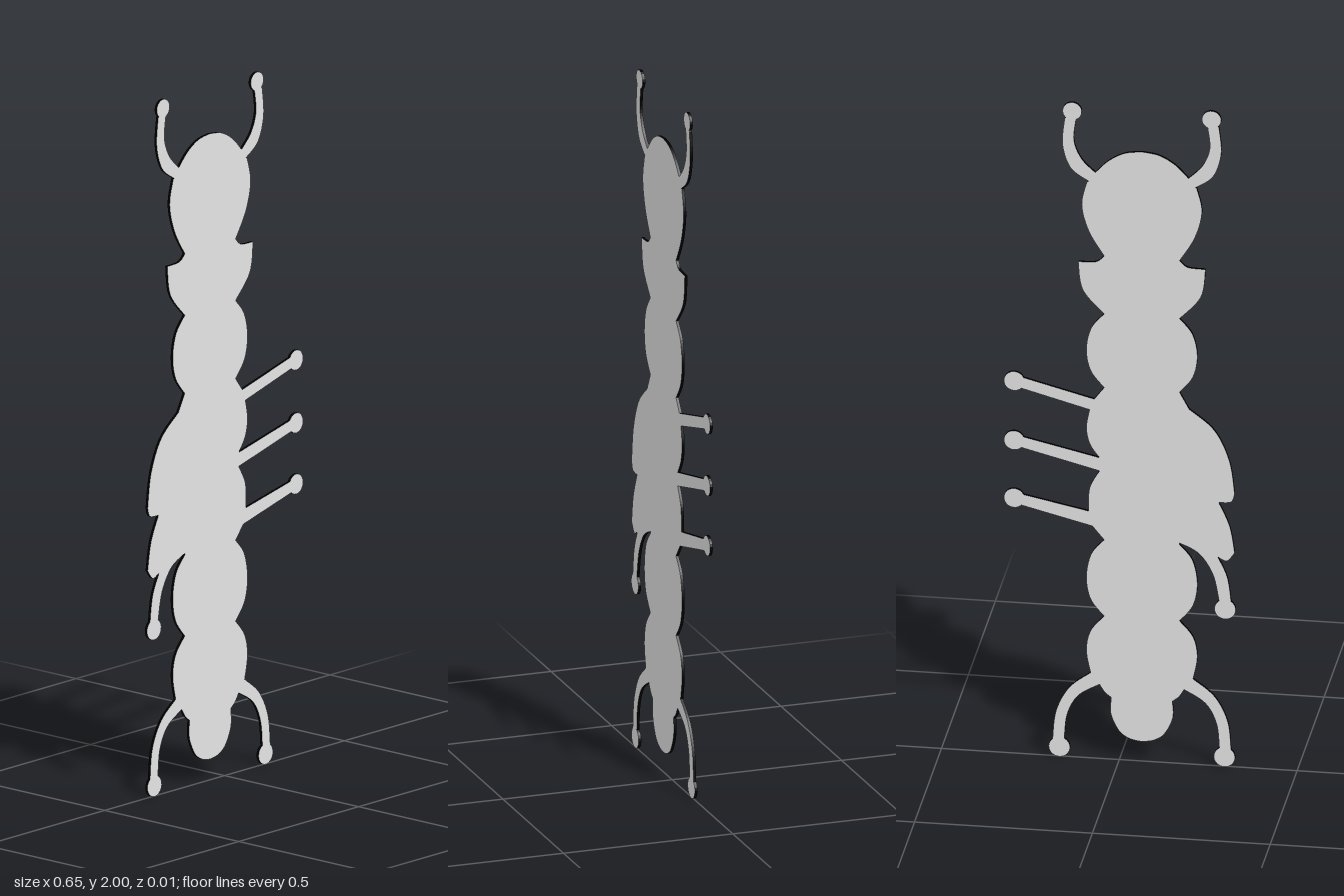
import * as THREE from 'three';

const AXIS = -0.064; // centre line of the body
const DEPTH = 0.008;

// Smooth run of outline through a few points
const smooth = (pts) =>
  new THREE.SplineCurve(pts.map(([x, y]) => new THREE.Vector2(x, y))).getPoints((pts.length - 1) * 7);

// Limb outline: out along one edge, clockwise round the knob, back along the other
function limb(out, [cx, cy, r], back) {
  const angle = ([x, y]) => Math.atan2(y - cy, x - cx);
  const a0 = angle(out[out.length - 1]);
  let a1 = angle(back[0]);
  if (a1 >= a0) a1 -= Math.PI * 2;
  const knob = [];
  for (let i = 0; i <= 18; i++) {
    const a = a0 + ((a1 - a0) * i) / 18;
    knob.push(new THREE.Vector2(cx + r * Math.cos(a), cy + r * Math.sin(a)));
  }
  return [...smooth(out), ...knob, ...smooth(back)];
}

const mirror = (pts) => pts.map((p) => new THREE.Vector2(2 * AXIS - p.x, p.y)).reverse();

export function createModel() {
  const lightGrey = new THREE.MeshStandardMaterial({ color: 0xe5e5e5 });
  lightGrey.name = 'lightGrey';
  const black = new THREE.MeshStandardMaterial({ color: 0x000000 });
  black.name = 'black';

  // Head, antenna, collar and first body segment (mirrored)
  const upper = [
    ...smooth([[AXIS, 1.862], [-0.015, 1.854], [0.03, 1.828], [0.067, 1.79]]),
    ...limb([[0.067, 1.79], [0.106, 1.83], [0.127, 1.885], [0.121, 1.95]], [0.132, 1.973, 0.027],
      [[0.153, 1.95], [0.159, 1.87], [0.136, 1.8], [0.085, 1.762]]),
    ...smooth([[0.09, 1.762], [0.105, 1.69], [0.085, 1.61], [0.042, 1.537]]),
    ...smooth([[0.042, 1.537], [0.065, 1.518], [0.115, 1.515]]),
    ...smooth([[0.115, 1.515], [0.102, 1.43], [0.042, 1.36]]),
    ...smooth([[0.042, 1.36], [0.078, 1.315], [0.092, 1.25], [0.08, 1.185], [0.042, 1.135]]),
  ];

  // Two lower segments, foot and tail (mirrored)
  const lower = [
    ...smooth([[0.042, 0.67], [0.078, 0.625], [0.092, 0.555], [0.08, 0.487], [0.042, 0.437]]),
    ...smooth([[0.042, 0.437], [0.08, 0.39], [0.092, 0.33], [0.08, 0.262]]),
    ...limb([[0.08, 0.262], [0.14, 0.213], [0.177, 0.14], [0.187, 0.053]], [0.168, 0.03, 0.03],
      [[0.154, 0.056], [0.146, 0.13], [0.115, 0.19], [0.055, 0.228]]),
    ...smooth([[0.055, 0.228], [0.04, 0.205], [0.022, 0.19]]),
    ...smooth([[0.022, 0.19], [0.023, 0.14], [0.0, 0.09], [-0.03, 0.068], [AXIS, 0.061]]),
  ];

  // Middle segments on the left with three straight legs
  const leg = (y, x0, y0, x1, y1) =>
    limb([[x0, y0], [0.269, y + 0.012]], [0.295, y, 0.029], [[0.273, y - 0.021], [x1, y1]]);
  const legSide = [
    ...smooth([[0.042, 1.135], [0.07, 1.098]]),
    ...leg(1.138, 0.07, 1.098, 0.083, 1.065),
    ...smooth([[0.083, 1.065], [0.092, 1.01], [0.082, 0.96], [0.055, 0.92]]),
    ...leg(0.957, 0.055, 0.92, 0.055, 0.88),
    ...smooth([[0.055, 0.88], [0.083, 0.825], [0.086, 0.755]]),
    ...leg(0.781, 0.086, 0.755, 0.075, 0.71),
    ...smooth([[0.075, 0.71], [0.042, 0.67]]),
  ];

  // Middle segments on the right: curved leg, then two stacked lobes
  const lobeSide = [
    ...limb([[-0.17, 0.675], [-0.225, 0.646], [-0.264, 0.585], [-0.281, 0.506]], [-0.298, 0.481, 0.03],
      [[-0.315, 0.506], [-0.304, 0.58], [-0.277, 0.64]]),
    ...smooth([[-0.277, 0.64], [-0.303, 0.629], [-0.325, 0.655]]),
    ...smooth([[-0.325, 0.655], [-0.311, 0.735], [-0.28, 0.806]]),
    ...smooth([[-0.28, 0.806], [-0.315, 0.81], [-0.325, 0.835]]),
    ...smooth([[-0.325, 0.835], [-0.31, 0.935], [-0.268, 1.025], [-0.197, 1.085]]),
    ...smooth([[-0.197, 1.085], [-0.17, 1.135]]),
  ];

  // Join the runs into one clean outline, dropping repeated points
  const outline = [...upper, ...legSide, ...lower, ...mirror(lower), ...lobeSide, ...mirror(upper)]
    .filter((p, i, all) => p.distanceTo(all[(i + 1) % all.length]) > 1e-4);

  const geometry = new THREE.ExtrudeGeometry(new THREE.Shape(outline), { depth: DEPTH, bevelEnabled: false });
  geometry.translate(0, 0, -DEPTH / 2);

  // Light faces with a black rim
  const body = new THREE.Mesh(geometry, [lightGrey, black]);
  body.name = 'caterpillarSilhouette';
  const group = new THREE.Group();
  group.name = 'caterpillar';
  group.add(body);
  return group;
}
